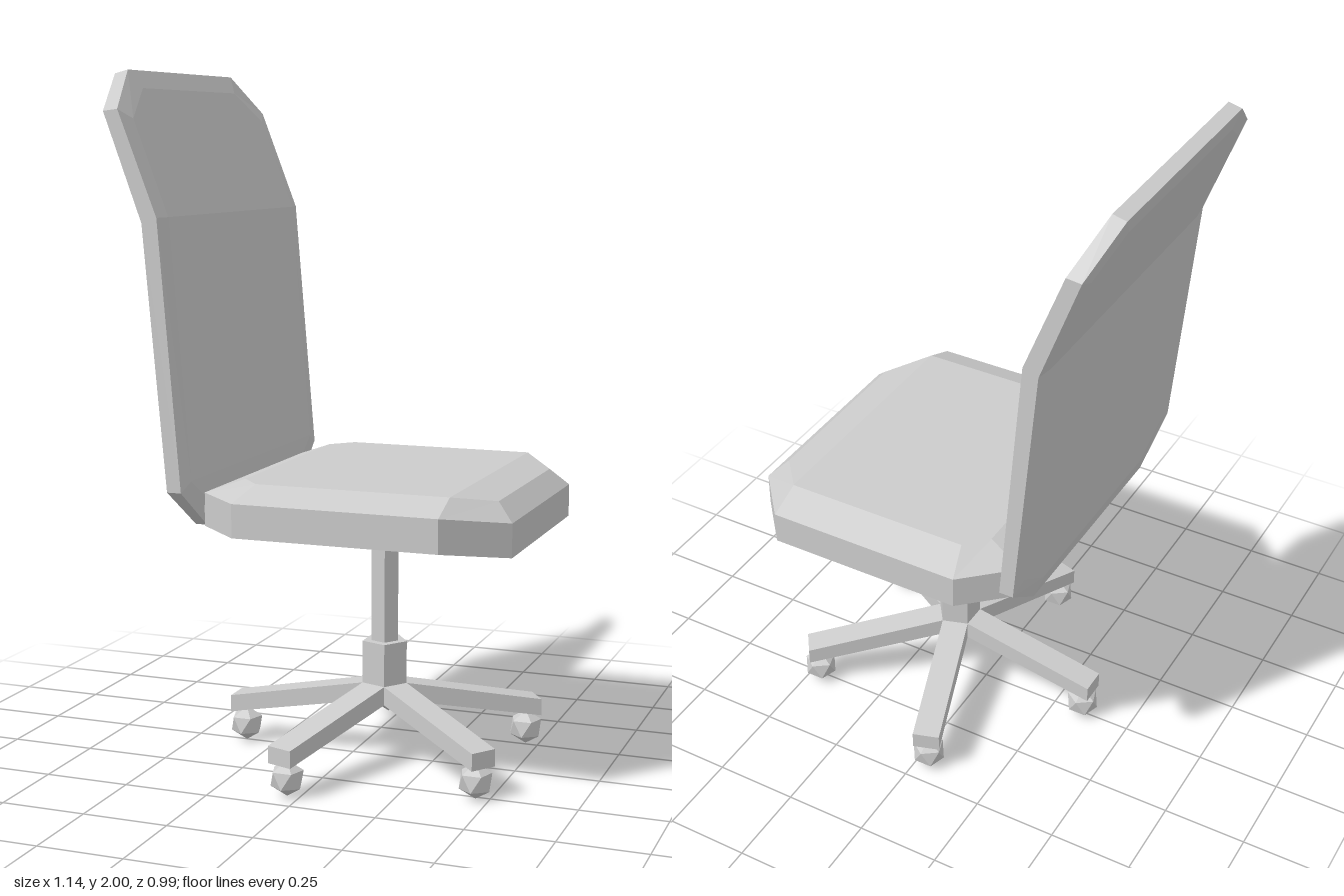
import * as THREE from 'three';

const material = new THREE.MeshStandardMaterial({ color: 0xcccccc, flatShading: true });
const CENTER_X = 0.1; // axis of the column and base

function mesh(name, geometry) {
  const m = new THREE.Mesh(geometry, material);
  m.name = name;
  return m;
}

// Closed shell through stacked rings. Each ring lists its +z half as [x, y, z];
// the other half is mirrored. End caps are strips across the mirror plane.
function shell(halfRings) {
  const rings = halfRings.map(h => [...h, ...h.map(([x, y, z]) => [x, y, -z]).reverse()]);
  const n = rings[0].length;
  const pos = [];
  const quad = (a, b, c, d) => pos.push(...a, ...b, ...c, ...a, ...c, ...d);
  for (let r = 0; r < rings.length - 1; r++) {
    const lo = rings[r], hi = rings[r + 1];
    for (let i = 0; i < n; i++) {
      const j = (i + 1) % n;
      quad(lo[i], lo[j], hi[j], hi[i]);
    }
  }
  const first = rings[0], last = rings[rings.length - 1];
  for (let i = 0; i < n / 2 - 1; i++) {
    quad(last[i], last[i + 1], last[n - 2 - i], last[n - 1 - i]);
    quad(first[n - 1 - i], first[n - 2 - i], first[i + 1], first[i]);
  }
  const g = new THREE.BufferGeometry();
  g.setAttribute('position', new THREE.Float32BufferAttribute(pos, 3));
  g.computeVertexNormals();
  return g;
}

// Five-sided column piece with one corner towards +x
function pentagon(name, radius, y0, y1) {
  const g = new THREE.CylinderGeometry(radius, radius, y1 - y0, 5);
  g.rotateY(Math.PI / 2);
  g.translate(0, (y0 + y1) / 2, 0);
  return mesh(name, g);
}

function createSeat() {
  // Octagonal outline, drooping at the front edge
  const outline = [[-0.31, 0.36], [-0.17, 0.49], [0.42, 0.49], [0.57, 0.31]];
  const ring = (y, yFront) => outline.map(([x, z], i) => [x, i === 3 ? yFront : y, z]);
  const top = [[-0.2, 0.87, 0.325], [-0.14, 0.87, 0.39], [0.42, 0.87, 0.39], [0.52, 0.845, 0.27]];
  return mesh('seat', shell([ring(0.735, 0.70), ring(0.83, 0.795), top]));
}

function createBackrest() {
  // Bent panel with cut corners and a shallow bevel on both faces
  const front = [
    [-0.31, 0.735, 0.345], [-0.318, 0.85, 0.495], [-0.38, 1.6, 0.495],
    [-0.492, 1.89, 0.495], [-0.535, 2.0, 0.345],
  ];
  const back = [
    [-0.345, 0.735, 0.345], [-0.36, 0.85, 0.495], [-0.425, 1.585, 0.495],
    [-0.535, 1.885, 0.495], [-0.575, 1.99, 0.345],
  ];
  const frontInset = [
    [-0.306, 0.785, 0.31], [-0.312, 0.875, 0.44], [-0.371, 1.6, 0.44],
    [-0.472, 1.865, 0.44], [-0.507, 1.95, 0.31],
  ];
  const backInset = [
    [-0.357, 0.785, 0.31], [-0.366, 0.875, 0.44], [-0.431, 1.582, 0.44],
    [-0.533, 1.86, 0.44], [-0.565, 1.942, 0.31],
  ];
  return mesh('backrest', shell([frontInset, front, back, backInset]));
}

function createBase() {
  const base = new THREE.Group();
  base.name = 'base';
  base.position.x = CENTER_X;
  base.add(
    pentagon('seatMount', 0.152, 0.66, 0.737),
    pentagon('pole', 0.041, 0.35, 0.67),
    pentagon('hub', 0.068, 0.175, 0.355),
  );

  // Sloping leg: side profile extruded to the width of one hub face
  const profile = new THREE.Shape([
    [0.05, 0.175], [0.48, 0.095], [0.48, 0.145], [0.05, 0.23],
  ].map(([r, y]) => new THREE.Vector2(r, y)));
  const legGeometry = new THREE.ExtrudeGeometry(profile, { depth: 0.08, bevelEnabled: false });
  legGeometry.translate(0, 0, -0.04);

  // Low-poly caster standing on one corner
  const casterGeometry = new THREE.IcosahedronGeometry(0.052, 0);
  casterGeometry.rotateX(-Math.atan((1 + Math.sqrt(5)) / 2));
  casterGeometry.translate(0.445, 0.052, 0);

  for (let i = 0; i < 5; i++) {
    const arm = new THREE.Group();
    arm.name = 'legWithCaster';
    arm.rotation.y = Math.PI / 5 + i * Math.PI * 2 / 5;
    arm.add(mesh('leg', legGeometry), mesh('caster', casterGeometry));
    base.add(arm);
  }
  return base;
}

export function createModel() {
  const chair = new THREE.Group();
  chair.name = 'officeChair';
  chair.add(createSeat(), createBackrest(), createBase());
  return chair;
}
